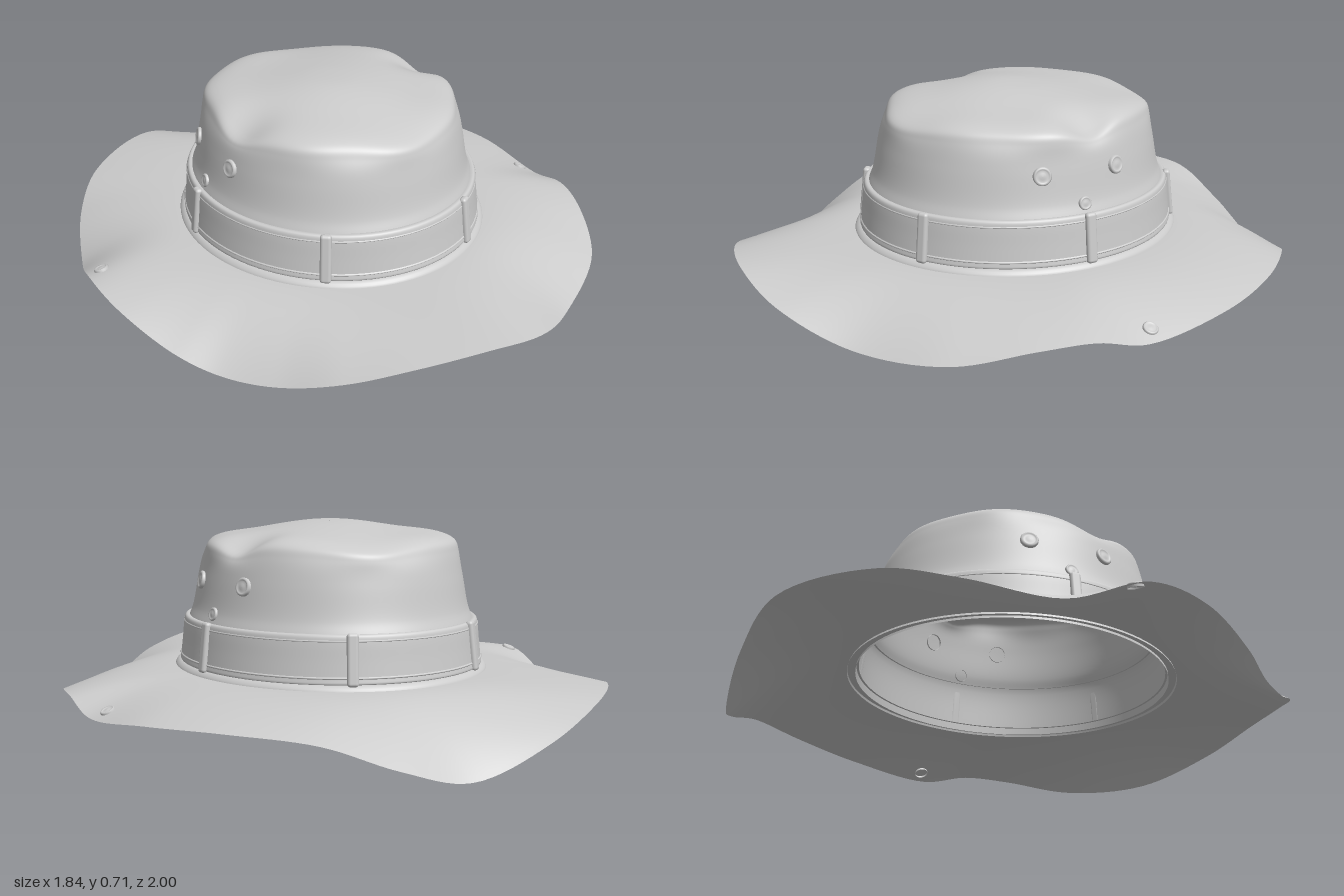
import * as THREE from 'three';
import { RoundedBoxGeometry } from 'three/addons/geometries/RoundedBoxGeometry.js';

const CZ = -0.016, DEPTH = 1.085; // crown centre in z, ellipse ratio
const V = (x, y, z) => new THREE.Vector3(x, y, z);
const material = new THREE.MeshStandardMaterial({ color: 0xcccccc, side: THREE.DoubleSide });

// Smooth sheet closed around u; fn(u, v) gives a point
function sheet(fn, nu, nv) {
  const pos = [], idx = [];
  for (let j = 0; j <= nv; j++)
    for (let i = 0; i < nu; i++) pos.push(...fn(i / nu, j / nv).toArray());
  for (let j = 0; j < nv; j++)
    for (let i = 0; i < nu; i++) {
      const a = j * nu + i, b = j * nu + (i + 1) % nu, c = a + nu, d = b + nu;
      idx.push(a, c, b, b, c, d);
    }
  const g = new THREE.BufferGeometry();
  g.setAttribute('position', new THREE.Float32BufferAttribute(pos, 3));
  g.setIndex(idx);
  g.computeVertexNormals();
  return g;
}

const profileCurve = (pts) => new THREE.CatmullRomCurve3(pts.map(([r, y]) => V(r, y, 0)), false, 'centripetal');

// Ring-shaped part from a radius/height profile
function ringSheet(pts, nv) {
  const curve = profileCurve(pts);
  return sheet((u, v) => {
    const p = curve.getPoint(v), t = u * Math.PI * 2;
    return V(p.x * Math.cos(t), p.y, p.x * DEPTH * Math.sin(t) + CZ);
  }, 96, nv);
}

const crownCurve = profileCurve([[0.515, 0.2], [0.495, 0.36], [0.475, 0.42], [0.455, 0.53], [0.438, 0.61],
  [0.424, 0.645], [0.385, 0.666], [0.25, 0.685], [0.1, 0.7], [0.001, 0.702]]);

const bump = (x, z, cx, cz, s) => Math.exp(-((x - cx) ** 2 + (z - cz) ** 2) / (s * s));

// Crown surface with soft folds and dents around the top edge
function crownPoint(u, v) {
  const p = crownCurve.getPoint(v), t = u * Math.PI * 2;
  const edge = Math.exp(-(((p.y - 0.64) / 0.05) ** 2)) * Math.min(1, p.x / 0.35);
  const r = p.x * (1 + edge * (0.012 * Math.sin(5 * t + 1) + 0.008 * Math.sin(9 * t)));
  const x = r * Math.cos(t), z = r * DEPTH * Math.sin(t) + CZ;
  const top = THREE.MathUtils.smoothstep(p.y, 0.55, 0.67);
  const y = p.y + top * (0.012 * bump(x, z, -0.08, 0, 0.2)
    - 0.045 * bump(x, z, 0.4, -0.08, 0.09) - 0.04 * bump(x, z, -0.4, 0.1, 0.1)
    - 0.02 * bump(x, z, 0.1, -0.47, 0.16) - 0.02 * bump(x, z, 0.1, 0.46, 0.16)
    + 0.005 * Math.sin(8 * x + 2) * Math.sin(9 * z));
  return V(x, y, z);
}

// Wavy outer edge of the brim
const brimEdge = new THREE.CatmullRomCurve3([
  [0.92, 0.11, 0], [0.91, 0.15, 0.18], [0.865, 0.14, 0.35], [0.746, 0.09, 0.58], [0.48, 0.07, 0.79],
  [0.24, 0.145, 0.95], [0, 0.195, 0.995], [-0.23, 0.185, 0.96], [-0.42, 0.13, 0.86], [-0.57, 0.065, 0.7],
  [-0.69, 0.05, 0.55], [-0.79, 0.085, 0.42], [-0.89, 0.15, 0.21], [-0.92, 0.165, 0], [-0.875, 0.075, -0.26],
  [-0.79, 0.12, -0.53], [-0.656, 0.17, -0.74], [-0.365, 0.17, -0.96], [-0.13, 0.085, -1], [0.16, 0.005, -0.975],
  [0.38, 0.06, -0.915], [0.56, 0.13, -0.79], [0.75, 0.15, -0.58], [0.88, 0.14, -0.32],
].map((p) => V(...p)), true, 'centripetal');

// Brim point: v = 0 at the outer edge, 1 at the crown
function brimPoint(u, v) {
  const o = brimEdge.getPoint(u), t = Math.atan2((o.z - CZ) / DEPTH, o.x), k = 1 - v;
  const i = V(0.515 * Math.cos(t), 0.208, 0.515 * DEPTH * Math.sin(t) + CZ);
  const p = i.clone().lerp(o, k);
  p.y = i.y + (o.y - i.y) * Math.pow(k, 2.1);
  return p;
}

// Stand an object on a surface: its z along the normal, its y near up
function place(obj, p, n, up = V(0, 1, 0)) {
  const z = n.clone().normalize(), x = up.clone().cross(z).normalize();
  obj.quaternion.setFromRotationMatrix(new THREE.Matrix4().makeBasis(x, z.clone().cross(x), z));
  obj.position.copy(p);
  return obj;
}

// Round metal stud: rolled rim with a domed centre
function stud(name, r) {
  const pts = [[0, 0.3], [0.35, 0.28], [0.6, 0.2], [0.72, 0.3], [0.88, 0.32], [1, 0.18], [1, -0.3]]
    .map(([x, y]) => new THREE.Vector2(x * r, y * r)).reverse();
  const g = new THREE.LatheGeometry(pts, 24);
  g.rotateX(Math.PI / 2);
  const m = new THREE.Mesh(g, material);
  m.name = name;
  return m;
}

export function createModel() {
  const hat = new THREE.Group();
  hat.name = 'hat';
  const add = (name, geometry) => {
    const m = new THREE.Mesh(geometry, material);
    m.name = name;
    hat.add(m);
  };

  add('crown', sheet(crownPoint, 128, 64));
  add('brim', sheet(brimPoint, 192, 24));
  add('band', ringSheet([[0.505, 0.225], [0.522, 0.226], [0.52, 0.245], [0.514, 0.3], [0.508, 0.36],
    [0.504, 0.378], [0.497, 0.383], [0.48, 0.38]], 28));
  add('baseWelt', ringSheet([[0.542, 0.2], [0.538, 0.212], [0.525, 0.224], [0.508, 0.226]], 8));
  // stitched seams along the band
  for (const [r, y] of [[0.5225, 0.246], [0.509, 0.362]])
    add('bandSeam', ringSheet([[r - 0.003, y - 0.004], [r + 0.001, y], [r - 0.003, y + 0.004]], 4));

  // Six belt loops over the band
  for (const [side, z] of [[1, 0.47], [1, -0.03], [1, -0.515], [-1, 0.47], [-1, -0.03], [-1, -0.515]]) {
    const s = (z - CZ) / (0.525 * DEPTH), c = side * Math.sqrt(1 - s * s);
    const loop = new THREE.Mesh(new RoundedBoxGeometry(0.038, 0.17, 0.026, 3, 0.011), material);
    loop.name = 'bandLoop';
    hat.add(place(loop, V(0.515 * c, 0.304, 0.515 * DEPTH * s + CZ), V(c, 0.11, s / DEPTH)));
  }

  // Vents and snaps on both sides of the crown
  for (const side of [1, -1])
    for (const [name, z, y, a, r] of [['vent', 0.115, 0.515, 0.459, 0.031], ['vent', -0.16, 0.515, 0.459, 0.031],
      ['crownSnap', -0.025, 0.413, 0.478, 0.023]]) {
      const s = (z - CZ) / (a * DEPTH), c = side * Math.sqrt(1 - s * s);
      hat.add(place(stud(name, r), V(a * c, y, z), V(c, 0.2, s / DEPTH)));
    }

  // Snaps near the brim edge, seated on the brim surface
  for (const u of [0.995, 13.1 / 24]) {
    const p = brimPoint(u, 0.12), out = brimPoint(u, 0.05).sub(p), along = brimPoint((u + 0.004) % 1, 0.12).sub(p);
    hat.add(place(stud('brimSnap', 0.025), p, along.cross(out), V(0, 0, 1)));
  }
  return hat;
}
